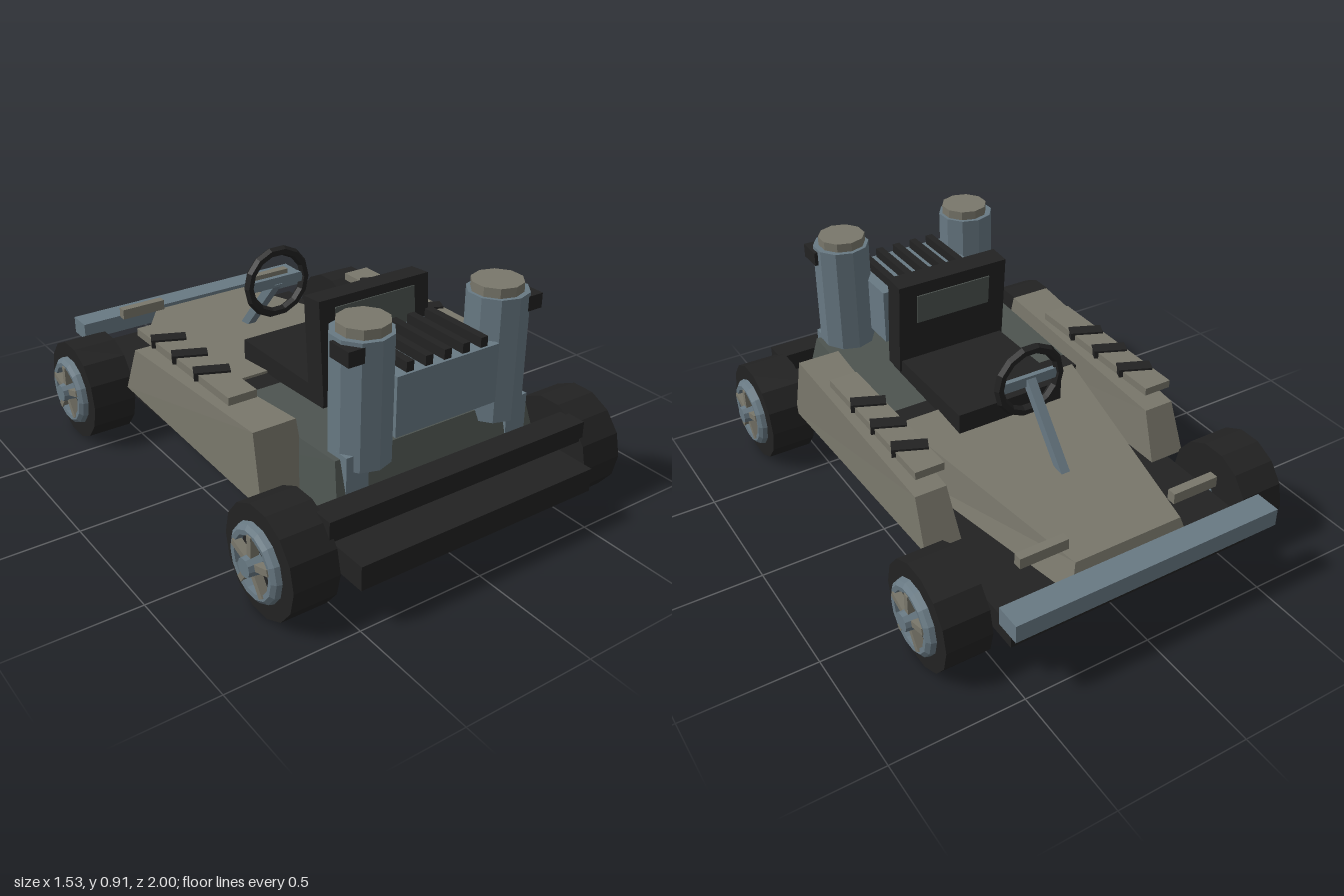
import * as THREE from 'three';

const paint = (name, color) => {
  const m = new THREE.MeshStandardMaterial({ color, flatShading: true });
  m.name = name;
  return m;
};

export function createModel() {
  const kart = new THREE.Group();
  kart.name = 'kart';
  const tan = paint('tan', 0x79776b);
  const steel = paint('steel', 0x687983);
  const grey = paint('darkGrey', 0x4d5450);
  const black = paint('black', 0x222222);

  const add = (name, geo, mat, x = 0, y = 0, z = 0, parent = kart) => {
    const mesh = new THREE.Mesh(geo, mat);
    mesh.name = name;
    mesh.position.set(x, y, z);
    parent.add(mesh);
    return mesh;
  };
  // Box given by its ranges on each axis
  const box = (name, mat, x0, x1, y0, y1, z0, z1, parent = kart) =>
    add(name, new THREE.BoxGeometry(x1 - x0, y1 - y0, z1 - z0), mat,
      (x0 + x1) / 2, (y0 + y1) / 2, (z0 + z1) / 2, parent);
  // Box whose corners are placed by a rule (right, up, front are booleans)
  const wedge = (name, mat, rule) => {
    const geo = new THREE.BoxGeometry(2, 2, 2);
    const p = geo.attributes.position;
    for (let i = 0; i < p.count; i++) p.setXYZ(i, ...rule(p.getX(i) > 0, p.getY(i) > 0, p.getZ(i) > 0));
    geo.computeVertexNormals();
    return add(name, geo, mat);
  };

  // Chassis and bumpers
  box('floorPlate', black, -0.5, 0.5, 0.16, 0.25, -0.91, 1);
  box('engineBumper', black, -0.55, 0.55, 0.3, 0.375, 0.8, 0.9);
  box('noseBumper', steel, -0.54, 0.54, 0.28, 0.35, -1, -0.9);

  // Tapered nose, cockpit step and engine bed
  wedge('nose', tan, (r, up, f) => {
    const w = f ? (up ? 0.39 : 0.42) : (up ? 0.22 : 0.25);
    return [r ? w : -w, up ? (f ? 0.44 : 0.355) : 0.25, f ? 0.04 : (up ? -0.86 : -0.89)];
  });
  box('cockpitStep', black, -0.41, 0.41, 0.25, 0.43, 0.04, 0.13);
  wedge('engineBed', grey, (r, up, f) => {
    const w = up ? 0.41 : 0.44;
    return [r ? w : -w, up ? (f ? 0.46 : 0.43) : 0.25, f ? (up ? 0.73 : 0.79) : 0.13];
  });
  box('bedSill', steel, -0.43, 0.43, 0.25, 0.3, 0.7, 0.8);

  // Seat with a slightly tilted back and inset panels
  box('seatCushion', black, -0.225, 0.225, 0.4, 0.505, -0.12, 0.4);
  const seatBack = new THREE.Group();
  seatBack.name = 'seatBack';
  seatBack.position.set(0, 0.5, 0.37);
  seatBack.rotation.x = -0.08;
  kart.add(seatBack);
  box('backrest', black, -0.235, 0.235, -0.04, 0.343, -0.045, 0.045, seatBack);
  box('rearPanel', grey, -0.17, 0.17, 0.04, 0.31, 0.044, 0.05, seatBack);
  box('frontPanel', grey, -0.16, 0.16, 0.17, 0.29, -0.05, -0.044, seatBack);

  // Engine block with cooling fins
  box('engineBlock', steel, -0.215, 0.215, 0.51, 0.73, 0.48, 0.79);
  for (let i = -2; i <= 2; i++)
    box('coolingFin', black, i * 0.078 - 0.015, i * 0.078 + 0.015, 0.73, 0.766, 0.49, 0.78);

  // Steering wheel, crossbar and column
  add('steeringWheel', new THREE.TorusGeometry(0.128, 0.02, 6, 14), black, 0, 0.65, -0.237);
  box('wheelCrossbar', steel, -0.12, 0.12, 0.63, 0.67, -0.247, -0.227);
  const column = add('steeringColumn', new THREE.BoxGeometry(0.036, 0.036, 0.36), steel, 0, 0.515, -0.355);
  column.rotation.x = -Math.atan2(0.27, 0.23);

  // Rim ring profile, outer face towards +y
  const rim = [[0.14, 0], [0.135, 0.02], [0.12, 0.032], [0.102, 0.03], [0.1, 0]]
    .map(([r, y]) => new THREE.Vector2(r, y));

  for (const s of [1, -1]) {
    const side = s > 0 ? 'left' : 'right';
    const mbox = (name, mat, x0, x1, ...rest) =>
      box(name, mat, s > 0 ? x0 : -x1, s > 0 ? x1 : -x0, ...rest);

    // Side pod with sloped ends and top
    wedge(side + 'SidePod', tan, (r, up, f) => {
      const outer = (s > 0) === r;
      let x = outer ? (f ? 0.59 : 0.565) : (f ? 0.4 : 0.42);
      if (up) x += outer ? -0.01 : 0.012;
      return [s * x, up ? (f ? 0.515 : 0.445) : 0.255, f ? (up ? 0.51 : 0.57) : (up ? -0.385 : -0.46)];
    });
    // Plank with slanted straps
    mbox(side + 'Plank', tan, 0.432, 0.545, 0.508, 0.538, -0.375, 0.3);
    for (const z of [-0.23, -0.07, 0.09]) {
      const strap = add(side + 'Strap', new THREE.BoxGeometry(0.13, 0.032, 0.055), black, s * 0.488, 0.53, z);
      strap.rotation.y = -0.42;
    }
    mbox(side + 'NosePeg', tan, 0.22, 0.41, 0.385, 0.427, -0.82, -0.785);

    // Upright tank with cap, clamp and leg
    add(side + 'Tank', new THREE.CylinderGeometry(0.11, 0.11, 0.46, 10), steel, s * 0.285, 0.65, 0.693);
    add(side + 'TankCap', new THREE.CylinderGeometry(0.092, 0.092, 0.035, 10), tan, s * 0.28, 0.897, 0.693);
    mbox(side + 'TankClamp', black, 0.33, 0.403, 0.812, 0.866, 0.685, 0.785);
    mbox(side + 'TankLeg', steel, 0.3, 0.39, 0.25, 0.48, 0.71, 0.765);

    // Wheels, built along +y and turned outwards
    for (const [end, z] of [['engine', 0.74], ['nose', -0.66]]) {
      const wheel = new THREE.Group();
      wheel.name = side + end[0].toUpperCase() + end.slice(1) + 'Wheel';
      wheel.position.set(s * 0.535, 0.2, z);
      wheel.rotation.z = -s * Math.PI / 2;
      kart.add(wheel);
      add('tyre', new THREE.CylinderGeometry(0.2, 0.2, 0.175, 14), black, 0, 0.0875, 0, wheel);
      add('rimRing', new THREE.LatheGeometry(rim, 14), steel, 0, 0.174, 0, wheel);
      add('hub', new THREE.CylinderGeometry(0.034, 0.04, 0.055, 10), steel, 0, 0.2025, 0, wheel);
      for (let i = 0; i < 5; i++) {
        const a = i * Math.PI * 0.4 + (s > 0 ? Math.PI : 0);
        const spoke = add('spoke', new THREE.BoxGeometry(0.08, 0.03, 0.024), tan,
          Math.cos(a) * 0.07, 0.195, -Math.sin(a) * 0.07, wheel);
        spoke.rotation.y = a;
      }
      const axle = add(side + 'Axle', new THREE.CylinderGeometry(0.022, 0.022, 0.1, 8), steel, s * 0.49, 0.205, z);
      axle.rotation.z = Math.PI / 2;
    }
  }
  return kart;
}
